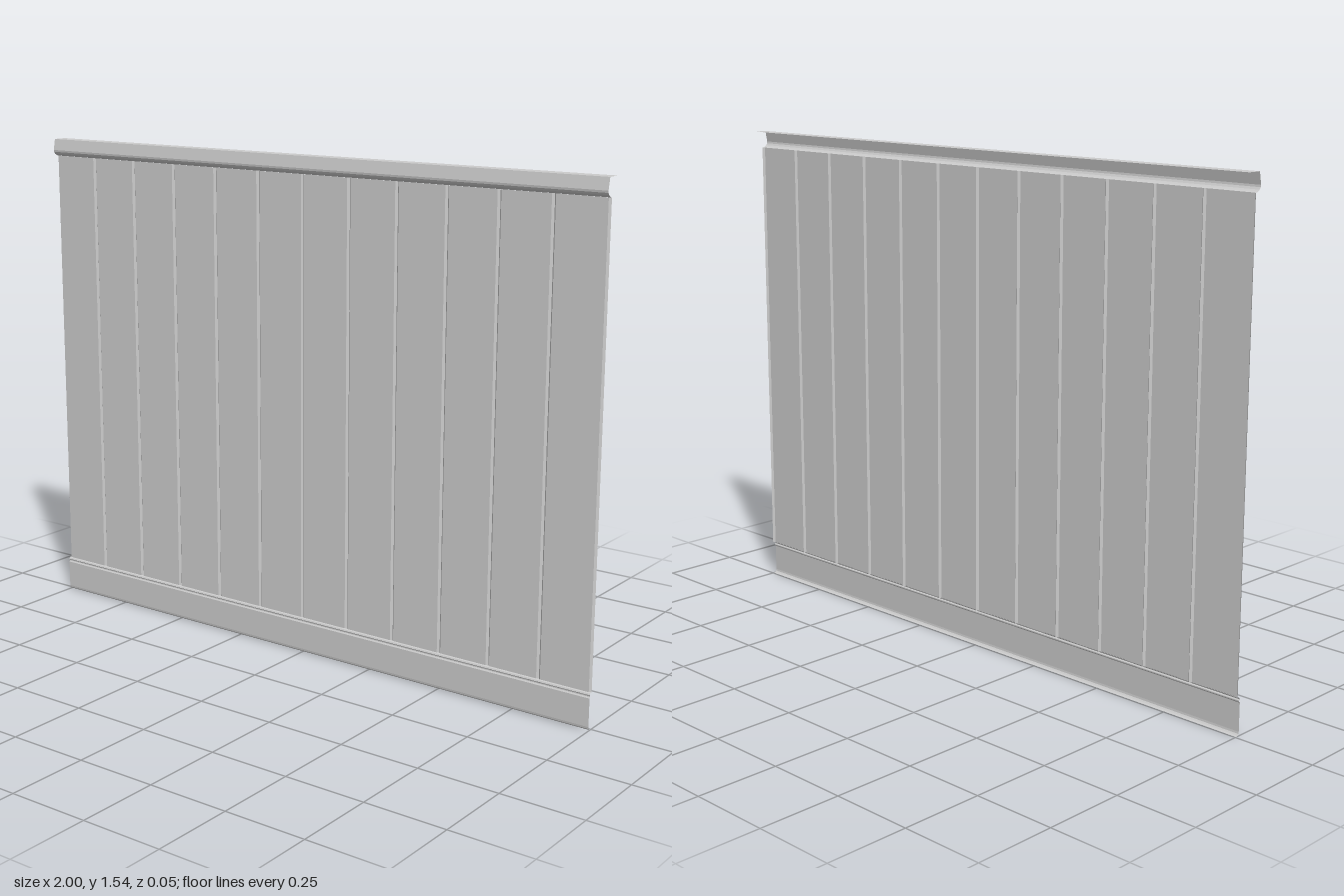
import * as THREE from 'three';

const material = new THREE.MeshStandardMaterial({
  color: 0xcccccc, flatShading: true, side: THREE.DoubleSide,
});

// Thin sheet swept between two matching outlines (lists of [x, y, z]).
function sheet(name, start, end) {
  const positions = [];
  for (let i = 0; i < start.length - 1; i++) {
    const [a, b, c, d] = [start[i], end[i], end[i + 1], start[i + 1]];
    positions.push(...a, ...b, ...c, ...a, ...c, ...d);
  }
  const geometry = new THREE.BufferGeometry();
  geometry.setAttribute('position', new THREE.Float32BufferAttribute(positions, 3));
  geometry.computeVertexNormals();
  const mesh = new THREE.Mesh(geometry, material);
  mesh.name = name;
  return mesh;
}

// Horizontal moulding: [z, y] profile listed from bottom to top.
const moulding = (name, profile) => sheet(
  name,
  profile.map(([z, y]) => [-1, y, z]),
  profile.map(([z, y]) => [1, y, z]),
);

export function createModel() {
  const group = new THREE.Group();
  group.name = 'wallPanelling';

  // Skirting board with an inward curl at the foot and a beaded upper edge
  group.add(moulding('skirtingBoard', [
    [0.004, 0], [0.010, 0.002], [0.014, 0.006], [0.015, 0.012],
    [0.015, 0.097], [0.012, 0.101], [0.012, 0.104], [0.015, 0.107],
    [0.013, 0.111], [0.009, 0.114],
  ]));

  // Twelve planks whose bevelled edges meet in V grooves
  const count = 12, width = 2 / count, bevel = 0.006;
  const front = 0.010, groove = 0.004, low = 0.112, high = 1.486;
  const planks = new THREE.Group();
  planks.name = 'planks';
  for (let i = 0; i < count; i++) {
    const x = -1 + i * width;
    const section = [
      [x, groove], [x + bevel, front],
      [x + width - bevel, front], [x + width, groove],
    ];
    planks.add(sheet(
      'plank',
      section.map(([px, pz]) => [px, high, pz]),
      section.map(([px, pz]) => [px, low, pz]),
    ));
  }
  group.add(planks);

  // Top rail: cove under a sloped lip, with a flat cap reaching backwards
  group.add(moulding('topRail', [
    [0.008, 1.486], [0.014, 1.489], [0.020, 1.493], [0.024, 1.499],
    [0.025, 1.505], [0.023, 1.515], [0.020, 1.530], [0.018, 1.540],
    [-0.026, 1.540],
  ]));

  return group;
}
